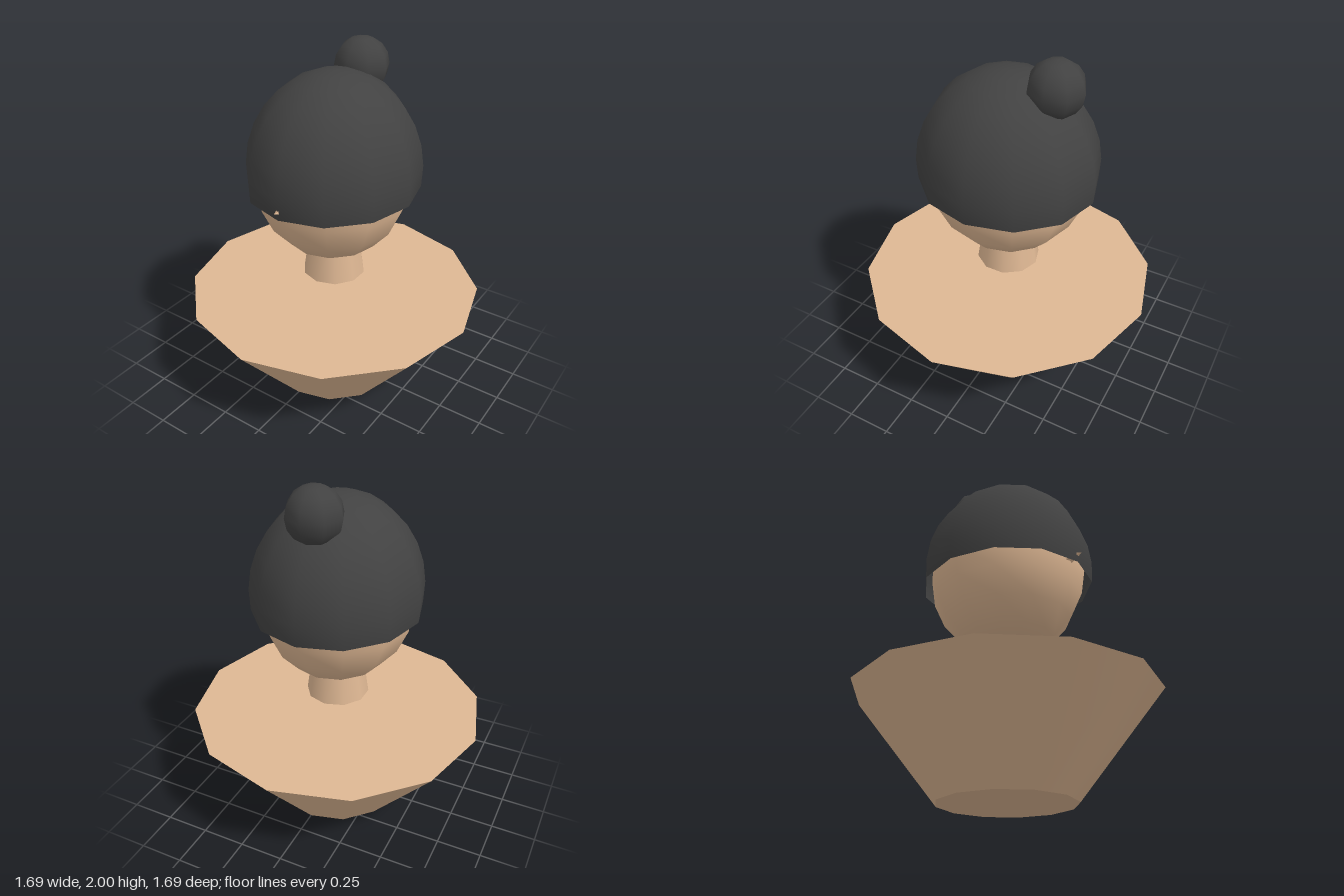
import * as THREE from 'three';

export function createModel() {
  const group = new THREE.Group();
  const skin = new THREE.MeshStandardMaterial({ color: 0xdeb793 });
  skin.name = 'skin';
  const hairMat = new THREE.MeshStandardMaterial({ color: 0x424242, side: THREE.DoubleSide });
  hairMat.name = 'darkHair';

  const add = (name, geometry, material, x, y, z) => {
    const mesh = new THREE.Mesh(geometry, material);
    mesh.name = name;
    mesh.position.set(x, y, z);
    group.add(mesh);
    return mesh;
  };

  // Tapered twelve-sided torso and floating neck
  add('torso', new THREE.CylinderGeometry(0.845, 0.375, 0.58, 12), skin, 0, 0.29, 0);
  add('neck', new THREE.CylinderGeometry(0.146, 0.18, 0.23, 10), skin, 0, 0.805, 0);

  // Egg-shaped head
  const head = add('head', new THREE.SphereGeometry(1, 12, 10), skin, 0, 1.325, 0);
  head.scale.set(0.44, 0.5, 0.46);

  // Small pointed nose, its tip just clear of the hair
  const nose = add('nose', new THREE.ConeGeometry(0.04, 0.1, 4), skin, 0, 1.285, 0.48);
  nose.rotation.set(Math.PI / 2, Math.PI / 4, 0);

  // Open hair shell and bun
  const hair = add('hair', new THREE.SphereGeometry(1, 12, 8, 0, Math.PI * 2, 0, Math.PI * 0.55), hairMat, 0, 1.325, 0);
  hair.scale.set(0.476, 0.56, 0.507);
  add('bun', new THREE.SphereGeometry(0.153, 8, 8), hairMat, 0, 1.847, -0.263);

  return group;
}
